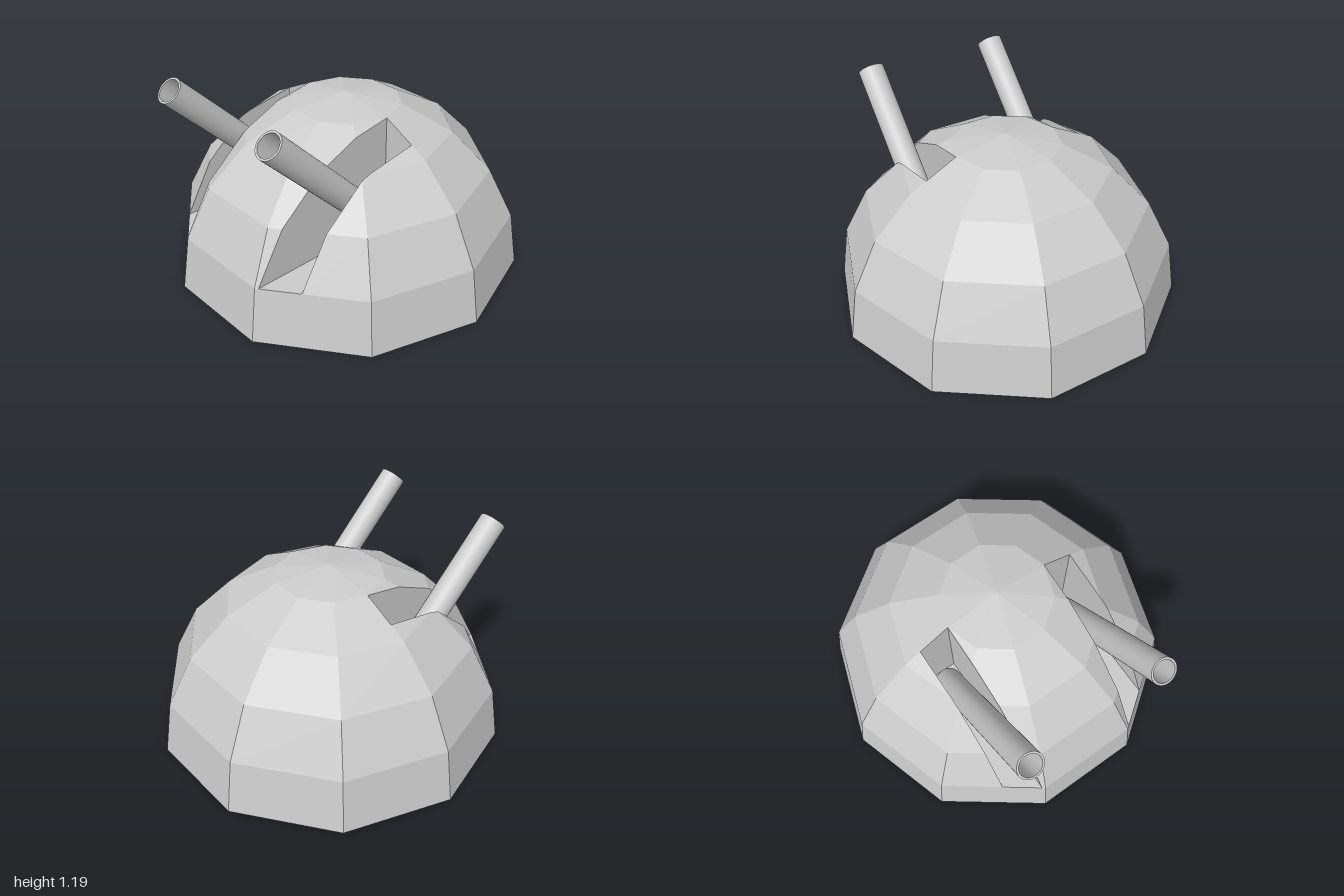
import * as THREE from 'three';
import { toCreasedNormals } from 'three/addons/utils/BufferGeometryUtils.js';

const SIDES = 10;
const FLOOR = Math.sin(Math.PI / 10); // slot floor lies on the first ring
const SLOT_IN = 0.31, SLOT_OUT = 0.49; // slot walls, mirrored in x
const near = (a, b) => Math.abs(a - b) < 1e-6;

// Keep the part of a convex polygon where sign * (x - c) >= 0
function clipX(poly, c, sign) {
  const out = [];
  poly.forEach((a, i) => {
    const b = poly[(i + 1) % poly.length];
    const da = sign * (a.x - c), db = sign * (b.x - c);
    if (da >= 0) out.push(a);
    if (da * db < 0) out.push(a.clone().lerp(b, da / (da - db)));
  });
  return out;
}

function domeGeometry() {
  const pos = [];
  const addPoly = (p) => {
    for (let i = 1; i < p.length - 1; i++) {
      for (const v of [p[0], p[i], p[i + 1]]) pos.push(v.x, v.y, v.z);
    }
  };
  const point = (ring, side) => {
    const t = (ring * Math.PI) / 10, a = (side * 2 * Math.PI) / SIDES;
    return new THREE.Vector3(Math.cos(t) * Math.cos(a), Math.sin(t), Math.cos(t) * Math.sin(a));
  };

  // Walls, floor and back of a slot, hung from the edges of the removed skin
  const lineSlot = (p) => p.forEach((a, i) => {
    const b = p[(i + 1) % p.length];
    const onWall = near(a.x, b.x) && (near(Math.abs(a.x), SLOT_IN) || near(Math.abs(a.x), SLOT_OUT));
    const drop = (v) => new THREE.Vector3(v.x, FLOOR, 0);
    if (onWall) addPoly([a, b, drop(a)]);
    else if ((near(a.z, 0) && near(b.z, 0)) || (near(a.y, FLOOR) && near(b.y, FLOOR))) {
      addPoly([a, b, drop(b), drop(a)]);
    }
  });

  // Faceted skin; front facets above the first ring are cut into strips
  const cuts = [-9, -SLOT_OUT, -SLOT_IN, SLOT_IN, SLOT_OUT, 9];
  for (let r = 0; r < 5; r++) {
    for (let s = 0; s < SIDES; s++) {
      const facet = [point(r, s + 1), point(r, s), point(r + 1, s)];
      if (r < 4) facet.push(point(r + 1, s + 1));
      if (r === 0 || s >= SIDES / 2) {
        addPoly(facet);
        continue;
      }
      for (let k = 0; k < 5; k++) {
        const strip = clipX(clipX(facet, cuts[k], 1), cuts[k + 1], -1);
        if (strip.length < 3) continue;
        if (k % 2) lineSlot(strip);
        else addPoly(strip);
      }
    }
  }

  // Flat underside
  addPoly(Array.from({ length: SIDES }, (_, s) => point(0, s)));

  const geo = new THREE.BufferGeometry();
  geo.setAttribute('position', new THREE.Float32BufferAttribute(pos, 3));
  geo.computeVertexNormals();
  return geo;
}

// Hollow tube with square-edged ends
function barrelGeometry(radius, bore, length) {
  const h = length / 2;
  const profile = [[radius, -h], [radius, h], [bore, h], [bore, -h], [radius, -h]];
  const lathe = new THREE.LatheGeometry(profile.map(([x, y]) => new THREE.Vector2(x, y)), 32);
  return toCreasedNormals(lathe, 0.6);
}

export function createModel() {
  const group = new THREE.Group();
  group.name = 'domeTurret';

  const dome = new THREE.Mesh(
    domeGeometry(),
    new THREE.MeshStandardMaterial({ color: 0xcccccc, flatShading: true })
  );
  dome.name = 'slottedDome';
  group.add(dome);

  // Twin barrels, raised 45 degrees in their slots
  const barrelGeo = barrelGeometry(0.075, 0.063, 1.09);
  const barrelMat = new THREE.MeshStandardMaterial({ color: 0xcccccc });
  for (const [name, side] of [['leftBarrel', 1], ['rightBarrel', -1]]) {
    const barrel = new THREE.Mesh(barrelGeo, barrelMat);
    barrel.name = name;
    barrel.position.set(0.4 * side, 0.754, 0.467);
    barrel.rotation.x = Math.PI / 4;
    group.add(barrel);
  }
  return group;
}
